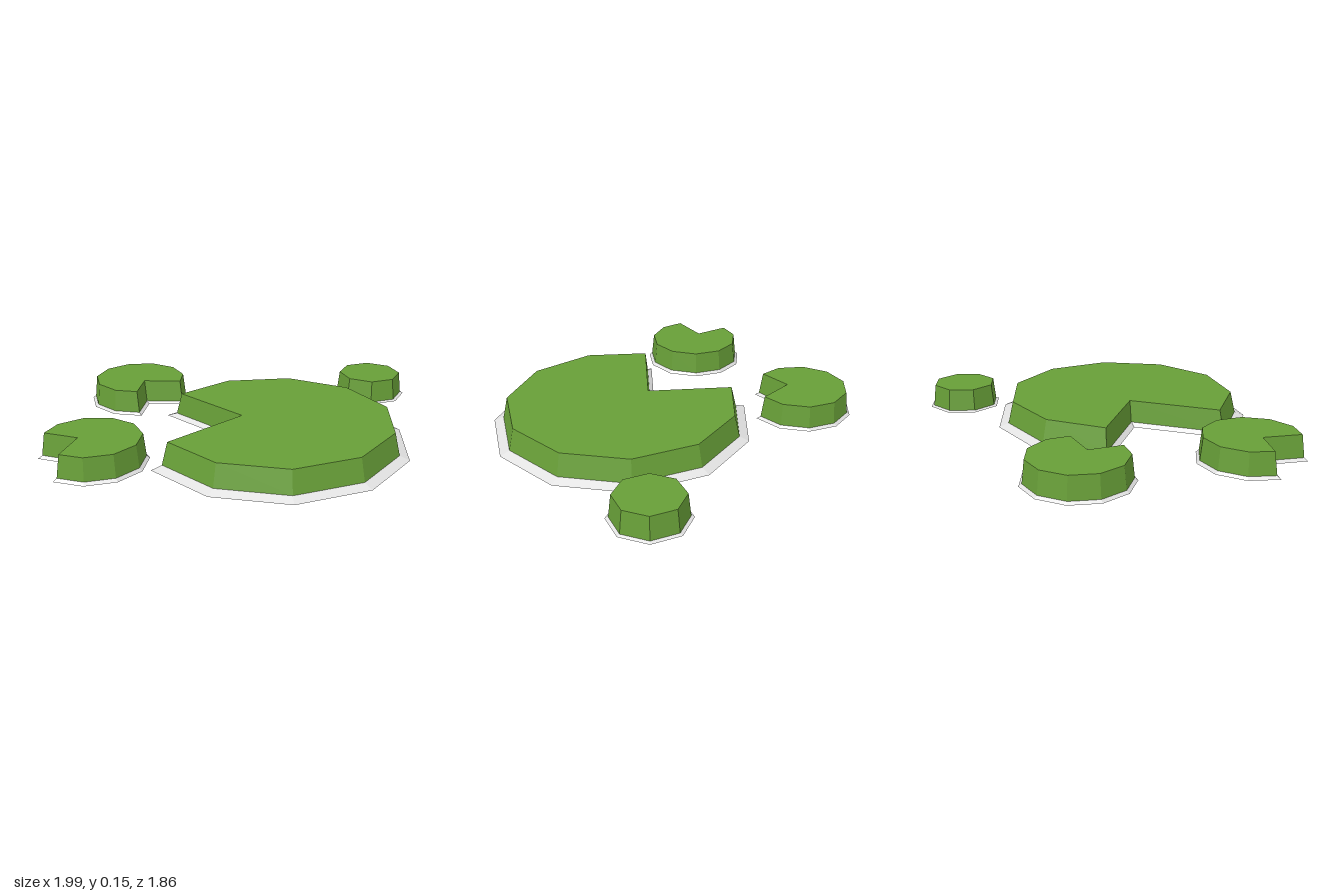
import * as THREE from 'three';

const leafGreen = new THREE.MeshStandardMaterial({ color: 0x689f38 });
leafGreen.name = 'leafGreen';
const foamGrey = new THREE.MeshStandardMaterial({ color: 0xe2e2e2 });
foamGrey.name = 'foamGrey';

const TOP_Y = 0.15, RIM_Y = 0.022;
const rad = THREE.MathUtils.degToRad;

// Outline of [x, z] corners around a centre; a notched pad leaves a wedge open and steps inwards there
function outline({ x, z, r, start, notch }) {
  const at = (angle, radius) => [x + radius * Math.cos(rad(angle)), z + radius * Math.sin(rad(angle))];
  if (!notch) return Array.from({ length: 8 }, (_, i) => at(start + i * 45, r));
  const ring = Array.from({ length: 10 }, (_, i) => at(start + i * 33.1, r));
  ring.push(at(start - 24.5, notch));
  return ring;
}

// Move every edge inwards by its own distance and intersect neighbouring edges
function inset(ring, distances) {
  const n = ring.length;
  const normals = ring.map(([x, z], i) => {
    const [nx, nz] = ring[(i + 1) % n];
    const len = Math.hypot(nx - x, nz - z);
    return [(z - nz) / len, (nx - x) / len];
  });
  return ring.map(([x, z], i) => {
    const h = (i + n - 1) % n;
    const [a, b] = normals[h], [c, d] = normals[i];
    const det = a * d - b * c;
    return [
      x + (distances[h] * d - b * distances[i]) / det,
      z + (a * distances[i] - distances[h] * c) / det,
    ];
  });
}

// Sloped walls between two outlines, closed by one cap (upper or lower)
function slab(lower, yLow, upper, yHigh, capOnTop) {
  const pos = [];
  const put = (p, y) => pos.push(p[0], y, p[1]);
  lower.forEach((a, i) => {
    const j = (i + 1) % lower.length;
    put(a, yLow); put(upper[i], yHigh); put(upper[j], yHigh);
    put(a, yLow); put(upper[j], yHigh); put(lower[j], yLow);
  });
  const ring = capOnTop ? upper : lower;
  const y = capOnTop ? yHigh : yLow;
  const flat = ring.map((p) => new THREE.Vector2(p[0], p[1]));
  for (const tri of THREE.ShapeUtils.triangulateShape(flat, [])) {
    const [a, b, c] = tri.map((k) => ring[k]);
    const facesUp = (b[0] - a[0]) * (c[1] - a[1]) - (b[1] - a[1]) * (c[0] - a[0]) < 0;
    (facesUp === capOnTop ? [a, b, c] : [a, c, b]).forEach((p) => put(p, y));
  }
  const geo = new THREE.BufferGeometry();
  geo.setAttribute('position', new THREE.Float32BufferAttribute(pos, 3));
  geo.computeVertexNormals(); // unshared corners give flat facets
  return geo;
}

// One floating pad: a green leaf block on a thin skirt of foam
function makePad(spec) {
  const { name, y, notch, rimInset, notchInset, foamShare } = spec;
  const foot = outline(spec);
  const distances = foot.map((_, i) => (notch && i >= foot.length - 2 ? notchInset : rimInset));
  const top = inset(foot, distances);
  const middle = inset(foot, distances.map((d) => d * foamShare));

  const leaf = new THREE.Mesh(slab(middle, RIM_Y, top, TOP_Y, true), leafGreen);
  leaf.name = 'leaf';
  const foam = new THREE.Mesh(slab(foot, y, middle, RIM_Y, false), foamGrey);
  foam.name = 'foamSkirt';
  const pad = new THREE.Group();
  pad.name = name;
  pad.add(leaf, foam);
  return pad;
}

export function createModel() {
  const model = new THREE.Group();
  model.name = 'lilyPads';
  const small = { rimInset: 0.03, notchInset: 0.03, foamShare: 0.55 };
  model.add(
    makePad({ name: 'largePad', x: 0.245, z: 0.178, y: 0, r: 0.757, start: 201.7, notch: 0.245,
      rimInset: 0.083, notchInset: 0.04, foamShare: 0.65 }),
    makePad({ ...small, name: 'backNotchedPad', x: -0.698, z: -0.33, y: 0.008, r: 0.304, start: 72, notch: 0.119 }),
    makePad({ ...small, name: 'frontNotchedPad', x: -0.662, z: 0.632, y: 0.006, r: 0.303, start: 174.2, notch: 0.114 }),
    makePad({ ...small, name: 'smallRoundPad', x: 0.708, z: -0.713, y: 0.014, r: 0.22, start: 171.4 }),
  );
  return model;
}
